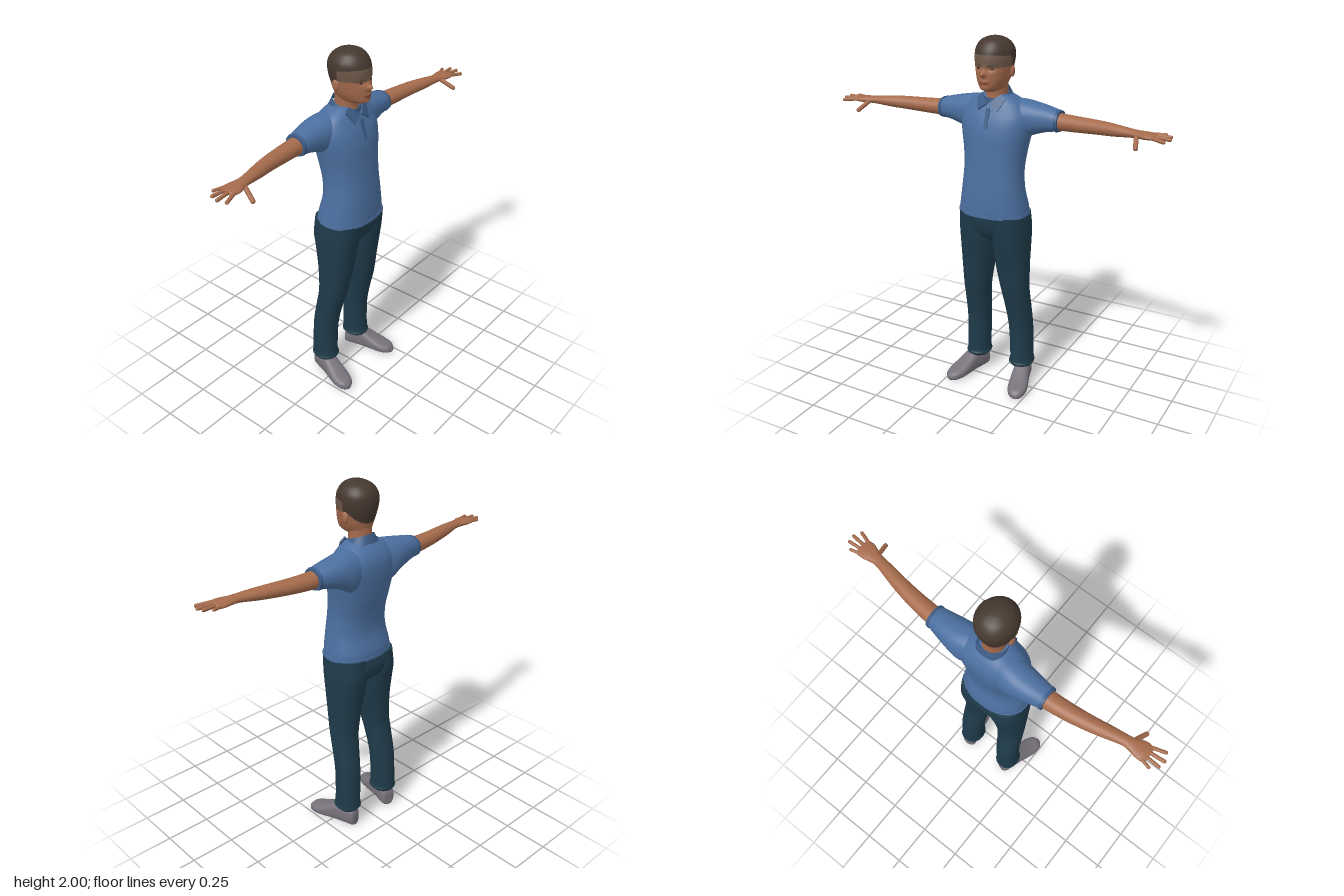
import * as THREE from 'three';

const mat = (name, color, extra = {}) => {
  const m = new THREE.MeshStandardMaterial({ color, ...extra });
  m.name = name;
  return m;
};

// Smooth loft through rows [t, a0, a1, b0, b1]: superellipse sections along an axis.
// axis y: a = x, b = z;  axis x: a = z, b = y;  axis z: a = y, b = x.
function loft(axis, rows, { n = 2, segs = 40, sub = 5, caps = true, shape = null, pick = null } = {}) {
  const times = rows.map((_, i) => i);
  const spline = new THREE.CubicInterpolant(times, rows.flat(), 5, new Float32Array(5));
  const order = { y: [1, 0, 2], x: [0, 2, 1], z: [2, 1, 0] }[axis];
  const pos = [], buckets = [];
  const put = (t, a, b) => {
    const p = [0, 0, 0];
    [t, a, b].forEach((v, k) => { p[order[k]] = v; });
    const v = new THREE.Vector3(...p);
    if (shape) shape(v);
    pos.push(v.x, v.y, v.z);
    return pos.length / 3 - 1;
  };
  const power = (v) => Math.sign(v) * Math.abs(v) ** (2 / n);
  const ring = (s) => {
    const [t, a0, a1, b0, b1] = Array.from(spline.evaluate(s));
    for (let j = 0; j < segs; j++) {
      const w = j / segs * Math.PI * 2;
      put(t, (a0 + a1) / 2 + (a1 - a0) / 2 * power(Math.cos(w)), (b0 + b1) / 2 + (b1 - b0) / 2 * power(Math.sin(w)));
    }
    return [t, (a0 + a1) / 2, (b0 + b1) / 2];
  };
  const tri = (a, b, c) => {
    const mid = [0, 1, 2].map((k) => (pos[a * 3 + k] + pos[b * 3 + k] + pos[c * 3 + k]) / 3);
    const g = pick ? pick(...mid) : 0;
    (buckets[g] ??= []).push(a, b, c);
  };
  const count = (rows.length - 1) * sub;
  for (let i = 0; i <= count; i++) ring(i / sub);
  for (let i = 0; i < count; i++) for (let j = 0; j < segs; j++) {
    const k = (j + 1) % segs, a = i * segs + j, b = i * segs + k;
    tri(a, a + segs, b);
    tri(b, a + segs, b + segs);
  }
  if (caps) [0, rows.length - 1].forEach((s, end) => {
    const start = pos.length / 3, centre = put(...ring(s));
    for (let j = 0; j < segs; j++) {
      const a = start + j, b = start + (j + 1) % segs;
      if (end) tri(centre, b, a); else tri(centre, a, b);
    }
  });
  const geo = new THREE.BufferGeometry();
  geo.setAttribute('position', new THREE.Float32BufferAttribute(pos, 3));
  geo.setIndex(buckets.flat());
  let at = 0;
  if (pick) buckets.forEach((list, g) => { geo.addGroup(at, list.length, g); at += list.length; });
  geo.computeVertexNormals();
  return geo;
}

function mirrored(geo) {
  const g = geo.clone().scale(-1, 1, 1), ix = g.index;
  for (let i = 0; i < ix.count; i += 3) {
    const b = ix.getX(i + 1);
    ix.setX(i + 1, ix.getX(i + 2));
    ix.setX(i + 2, b);
  }
  return g;
}

// Rounded rod between two points
function rod(from, to, radius) {
  const a = new THREE.Vector3(...from), d = new THREE.Vector3(...to).sub(a), len = d.length();
  const q = new THREE.Quaternion().setFromUnitVectors(new THREE.Vector3(0, 1, 0), d.clone().normalize());
  return new THREE.CapsuleGeometry(radius, len, 5, 12).applyQuaternion(q)
    .translate(a.x + d.x / 2, a.y + d.y / 2, a.z + d.z / 2);
}

const ball = (sx, sy, sz, x, y, z) => new THREE.SphereGeometry(1, 20, 14).scale(sx, sy, sz).translate(x, y, z);
const symmetric = (rows) => rows.map(([t, w, z0, z1]) => [t, -w, w, z0, z1]);

export function createModel() {
  const group = new THREE.Group();
  const skin = mat('skin', 0xa56b4c), hair = mat('hair', 0x46382f), fade = mat('short hair', 0x6c5747);
  const lips = mat('lips', 0x85493a), dark = mat('eye dark', 0x2a201c);
  const shirt = mat('shirt blue', 0x4b6f9f), trim = mat('shirt trim', 0x3c5b86, { side: THREE.DoubleSide });
  const denim = mat('trousers', 0x1f3b4a), shoeGrey = mat('shoe grey', 0x77727a), sole = mat('sole', 0x3b383c);
  const add = (name, geo, m) => {
    const mesh = new THREE.Mesh(geo, m);
    mesh.name = name;
    group.add(mesh);
  };
  const pair = (name, geo, m) => {
    add('left' + name, geo, m);
    add('right' + name, mirrored(geo), m);
  };

  // Head, with nose, brow and mouth pushed out of the surface
  const bump = (v, x, y, sx, sy) => Math.exp(-(((Math.abs(v.x) - x) / sx) ** 2) - ((v.y - y) / sy) ** 2);
  const face = (v) => {
    if (v.z < 0.03) return;
    v.x *= 1 - 0.1 * Math.min(1, v.z / 0.1);
    const ridge = bump(v, 0, 1.82, 0.013, 0.014) * 0.026 + bump(v, 0, 1.845, 0.011, 0.02) * 0.008;
    v.z += ridge + bump(v, 0, 1.776, 0.022, 0.012) * 0.006 + bump(v, 0, 1.745, 0.025, 0.012) * 0.004
      - bump(v, 0.036, 1.846, 0.02, 0.013) * 0.01;
  };
  const headColour = (x, y, z) => {
    const low = z > -0.02 ? 1.853 : 1.853 + (z + 0.02) * 0.85;
    const high = z > 0 ? 1.905 + z * 0.1 : low;
    if (y > high) return 1;
    if (y > low) return 2;
    return z > 0.08 && Math.abs(x) < 0.027 && Math.abs(y - 1.775) < 0.008 ? 3 : 0;
  };
  add('head', loft('y', symmetric([
    [1.722, 0.03, -0.045, 0.075], [1.742, 0.058, -0.075, 0.116], [1.78, 0.08, -0.086, 0.121],
    [1.82, 0.091, -0.097, 0.121], [1.86, 0.099, -0.108, 0.12], [1.9, 0.103, -0.113, 0.118],
    [1.94, 0.098, -0.106, 0.106], [1.975, 0.073, -0.078, 0.08], [1.994, 0.036, -0.038, 0.044], [2, 0.004, 0, 0.008],
  ]), { n: 2.15, segs: 88, sub: 8, shape: face, pick: headColour }), [skin, hair, fade, lips]);
  pair('Ear', ball(0.012, 0.031, 0.02, 0.094, 1.825, -0.012), skin);
  pair('Eye', ball(0.014, 0.005, 0.004, 0.035, 1.846, 0.102), dark);
  add('neck', loft('y', symmetric([
    [1.62, 0.07, -0.1, 0.065], [1.68, 0.06, -0.088, 0.045], [1.72, 0.058, -0.084, 0.045], [1.77, 0.06, -0.084, 0.05],
  ])), skin);

  // Shirt body and sleeves
  add('shirtBody', loft('y', symmetric([
    [1.058, 0.194, -0.138, 0.147], [1.1, 0.19, -0.138, 0.148], [1.2, 0.174, -0.113, 0.142], [1.3, 0.166, -0.118, 0.132],
    [1.4, 0.174, -0.14, 0.122], [1.5, 0.192, -0.156, 0.113], [1.57, 0.198, -0.16, 0.096], [1.62, 0.183, -0.153, 0.074],
    [1.66, 0.148, -0.132, 0.055], [1.69, 0.098, -0.105, 0.038], [1.702, 0.07, -0.09, 0.03],
  ]), { n: 2.3, segs: 56 }), shirt);
  add('shirtHem', loft('y', symmetric([[1.055, 0.198, -0.142, 0.151], [1.072, 0.197, -0.142, 0.151]]), { n: 2.3, segs: 56, sub: 1 }), shirt);
  pair('Sleeve', loft('x', [
    [0.05, -0.13, 0.02, 1.49, 1.675], [0.13, -0.15, 0.035, 1.45, 1.677], [0.19, -0.15, 0.025, 1.487, 1.669],
    [0.27, -0.135, 0.012, 1.515, 1.654], [0.32, -0.122, 0.005, 1.525, 1.642], [0.35, -0.116, 0.001, 1.53, 1.632],
  ], { n: 2.2 }), shirt);
  pair('SleeveCuff', loft('x', [[0.336, -0.122, 0.007, 1.524, 1.64], [0.352, -0.119, 0.004, 1.527, 1.635]], { n: 2.2, sub: 1 }), trim);

  // Collar, sloping down to the front, with two points and a short placket
  add('collar', loft('y', symmetric([[1.665, 0.098, -0.112, 0.062], [1.69, 0.083, -0.103, 0.055], [1.715, 0.07, -0.094, 0.05]]),
    { caps: false, shape: (v) => { v.y -= (v.z + 0.03) * 0.35; } }), trim);
  const point = new THREE.Shape([[0.004, 0.005], [0.052, -0.035], [0.088, 0.028], [0.062, 0.055]].map((p) => new THREE.Vector2(...p)));
  const flap = new THREE.ExtrudeGeometry(point, { depth: 0.008, bevelEnabled: false });
  flap.setIndex(Array.from({ length: flap.attributes.position.count }, (_, i) => i));
  flap.rotateX(-0.5).rotateY(0.3).translate(0, 1.655, 0.075);
  pair('CollarPoint', flap, trim);
  add('placket', new THREE.BoxGeometry(0.022, 0.11, 0.006).rotateX(-0.3).translate(0, 1.585, 0.091), trim);

  // Arms, palms and fingers
  pair('Arm', loft('x', [
    [0.3, -0.108, -0.008, 1.535, 1.627], [0.38, -0.104, -0.006, 1.535, 1.622], [0.48, -0.091, 0, 1.54, 1.619],
    [0.58, -0.072, 0.01, 1.547, 1.618], [0.66, -0.052, 0.022, 1.553, 1.615], [0.75, -0.028, 0.033, 1.564, 1.608],
    [0.79, -0.028, 0.042, 1.566, 1.605], [0.835, -0.037, 0.06, 1.568, 1.603], [0.872, -0.036, 0.058, 1.571, 1.599],
    [0.884, -0.02, 0.042, 1.577, 1.594],
  ], { segs: 32 }), skin);
  const fingers = {
    Thumb: [[0.79, 1.577, 0.04], [0.812, 1.542, 0.105], 0.012],
    IndexFinger: [[0.86, 1.587, 0.046], [0.935, 1.58, 0.072], 0.0095],
    MiddleFinger: [[0.865, 1.588, 0.022], [0.953, 1.585, 0.031], 0.0095],
    RingFinger: [[0.865, 1.588, -0.002], [0.947, 1.588, -0.007], 0.009],
    LittleFinger: [[0.855, 1.588, -0.024], [0.912, 1.589, -0.038], 0.008],
  };
  for (const [name, [from, to, r]] of Object.entries(fingers)) pair(name, rod(from, to, r), skin);

  // Trousers
  add('trouserSeat', loft('y', symmetric([
    [0.9, 0.04, -0.08, 0.06], [0.94, 0.13, -0.132, 0.105], [1.0, 0.194, -0.15, 0.13], [1.07, 0.192, -0.137, 0.14],
  ]), { n: 2.3 }), denim);
  pair('TrouserLeg', loft('y', [
    [0.108, 0.082, 0.203, -0.138, 0], [0.125, 0.07, 0.212, -0.148, 0.01], [0.16, 0.076, 0.206, -0.145, 0.002],
    [0.35, 0.068, 0.203, -0.138, 0.006], [0.5, 0.055, 0.2, -0.115, 0.036], [0.6, 0.042, 0.197, -0.102, 0.062],
    [0.75, 0.016, 0.198, -0.111, 0.087], [0.88, 0, 0.2, -0.132, 0.109], [0.96, -0.005, 0.2, -0.145, 0.122],
    [1.06, -0.005, 0.193, -0.138, 0.133],
  ], { n: 2.2 }), denim);

  // Shoes, toes turned out
  const shoe = loft('z', [
    [-0.14, 0.005, 0.08, -0.022, 0.022], [-0.127, 0, 0.108, -0.04, 0.04], [-0.08, 0, 0.128, -0.046, 0.046],
    [-0.02, 0, 0.124, -0.048, 0.048], [0.04, 0, 0.093, -0.053, 0.053], [0.1, 0, 0.066, -0.055, 0.055],
    [0.15, 0, 0.05, -0.04, 0.04], [0.172, 0.006, 0.03, -0.014, 0.014],
  ], { n: 2.6, pick: (x, y) => (y < 0.009 ? 1 : 0) });
  pair('Shoe', shoe.rotateY(0.27).translate(0.17, 0, 0), [shoeGrey, sole]);
  return group;
}
